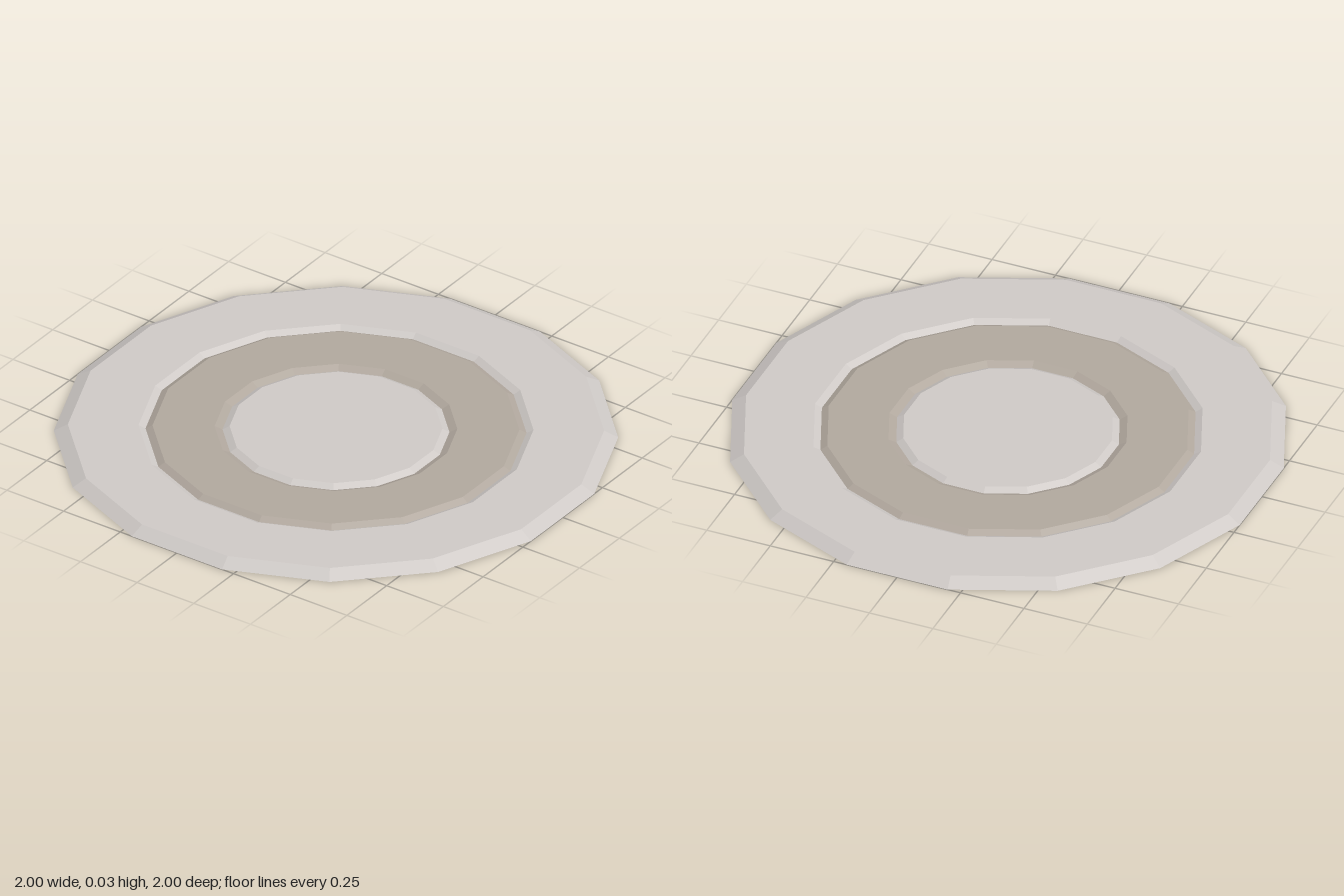
import * as THREE from 'three';

const SIDES = 16;
const TOP = 0.028;     // height of the flat tops
const GROOVE = 0.014;  // height of the groove bottoms
const FLAT = Math.cos(Math.PI / SIDES); // flat-to-flat radius -> corner radius

const stone = new THREE.MeshStandardMaterial({ color: 0xcdc8c5, flatShading: true });
const tan = new THREE.MeshStandardMaterial({ color: 0xb0a79d, flatShading: true });

// Sixteen-sided turned piece; profile runs from the bottom/outside to the top/inside
function turned(name, profile, material) {
  const points = profile.map(([r, y]) => new THREE.Vector2(r / FLAT, y));
  const geometry = new THREE.LatheGeometry(points, SIDES, Math.PI / SIDES);
  const mesh = new THREE.Mesh(geometry, material);
  mesh.name = name;
  return mesh;
}

export function createModel() {
  const group = new THREE.Group();
  group.name = 'roundPavingSlab';

  // Closed underside, bevelled rim and outer ring down to the first groove
  group.add(turned('outerRing', [[0, 0], [1, 0], [0.95, TOP], [0.7, TOP], [0.675, GROOVE]], stone));

  // Darker band between the two grooves
  group.add(turned('middleRing', [[0.675, GROOVE], [0.65, TOP], [0.43, TOP], [0.402, GROOVE]], tan));

  // Centre disc
  group.add(turned('centreDisc', [[0.402, GROOVE], [0.377, TOP], [0, TOP]], stone));

  return group;
}
